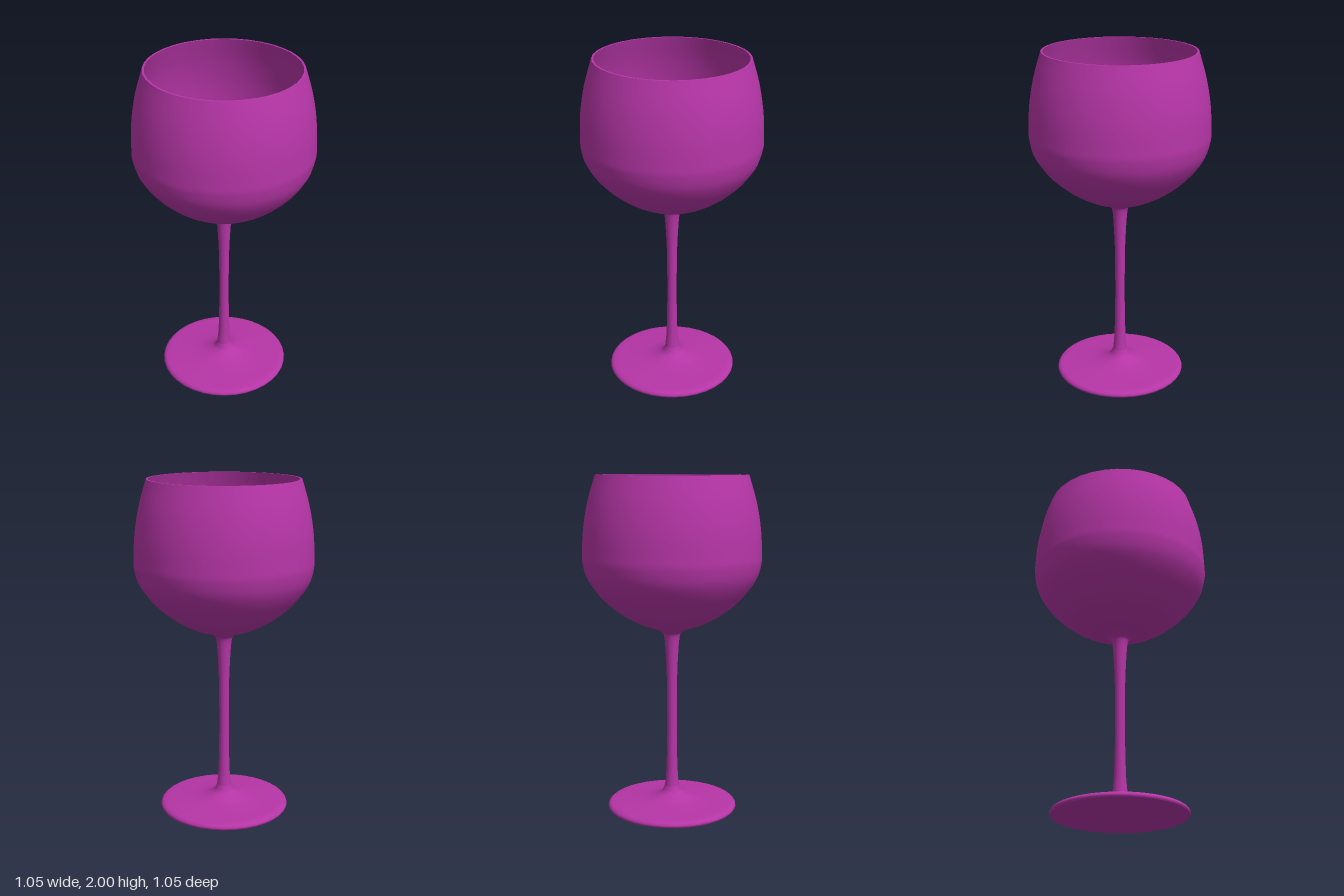
import * as THREE from 'three';

const SEGMENTS = 36;
const BOWL_WALL = 0.012;
const WINE_LEVEL = 1.42;

const vec = ([x, y]) => new THREE.Vector2(x, y);
const smooth = (pts, steps) => new THREE.SplineCurve(pts.map(vec)).getPoints(steps);

export function createModel() {
  const group = new THREE.Group();
  const glass = new THREE.MeshStandardMaterial({ color: 0xb535a6 });
  const wine = new THREE.MeshStandardMaterial({ color: 0xaa3030 });

  // Each profile is turned on its own, so the joins between profiles stay sharp.
  function turned(name, points, material) {
    const mesh = new THREE.Mesh(new THREE.LatheGeometry(points, SEGMENTS), material);
    mesh.name = name;
    group.add(mesh);
  }

  // Foot: flat underside, rounded edge, then a shallow cone up to the stem
  turned('footUnderside', [[0, 0], [0.385, 0]].map(vec), glass);
  turned('footEdge', smooth([[0.385, 0], [0.39, 0.01], [0.385, 0.022], [0.37, 0.031], [0.34, 0.035]], 12), glass);
  turned('footTop', smooth([[0.34, 0.035], [0.25, 0.042], [0.16, 0.053], [0.1, 0.07],
    [0.06, 0.094], [0.043, 0.13]], 20), glass);

  // Slender stem, flaring into the bowl
  turned('stem', smooth([[0.043, 0.13], [0.035, 0.22], [0.03, 0.4], [0.029, 0.6], [0.031, 0.8],
    [0.038, 0.96], [0.046, 1.05], [0.06, 1.08], [0.1, 1.103]], 40), glass);

  // Bowl: outer wall, flat rim and inner wall
  const outer = [[0.1, 1.103], [0.19, 1.132], [0.31, 1.2], [0.42, 1.295], [0.495, 1.4],
    [0.522, 1.49], [0.524, 1.56], [0.515, 1.7], [0.488, 1.85], [0.444, 2]];
  turned('bowlOutside', smooth(outer, 45), glass);
  turned('bowlRim', [[0.444, 2], [0.444 - BOWL_WALL, 2]].map(vec), glass);

  const inner = smooth([[0, 1.115], [0.09, 1.122],
    ...outer.slice(1).map(([x, y]) => [x - BOWL_WALL, y + BOWL_WALL * (2 - y)])], 60);
  turned('bowlInside', [...inner].reverse(), glass);

  // Wine fills the bowl up to a flat surface
  const below = inner.filter((p) => p.y < WINE_LEVEL);
  const next = inner[below.length];
  const last = below[below.length - 1];
  const edge = last.clone().lerp(next, (WINE_LEVEL - last.y) / (next.y - last.y));
  const body = [...below, edge].map((p) => new THREE.Vector2(Math.max(0, p.x - 0.002), p.y));
  turned('wineBody', body, wine);
  turned('wineSurface', [edge.clone(), vec([0, WINE_LEVEL])], wine);

  return group;
}
